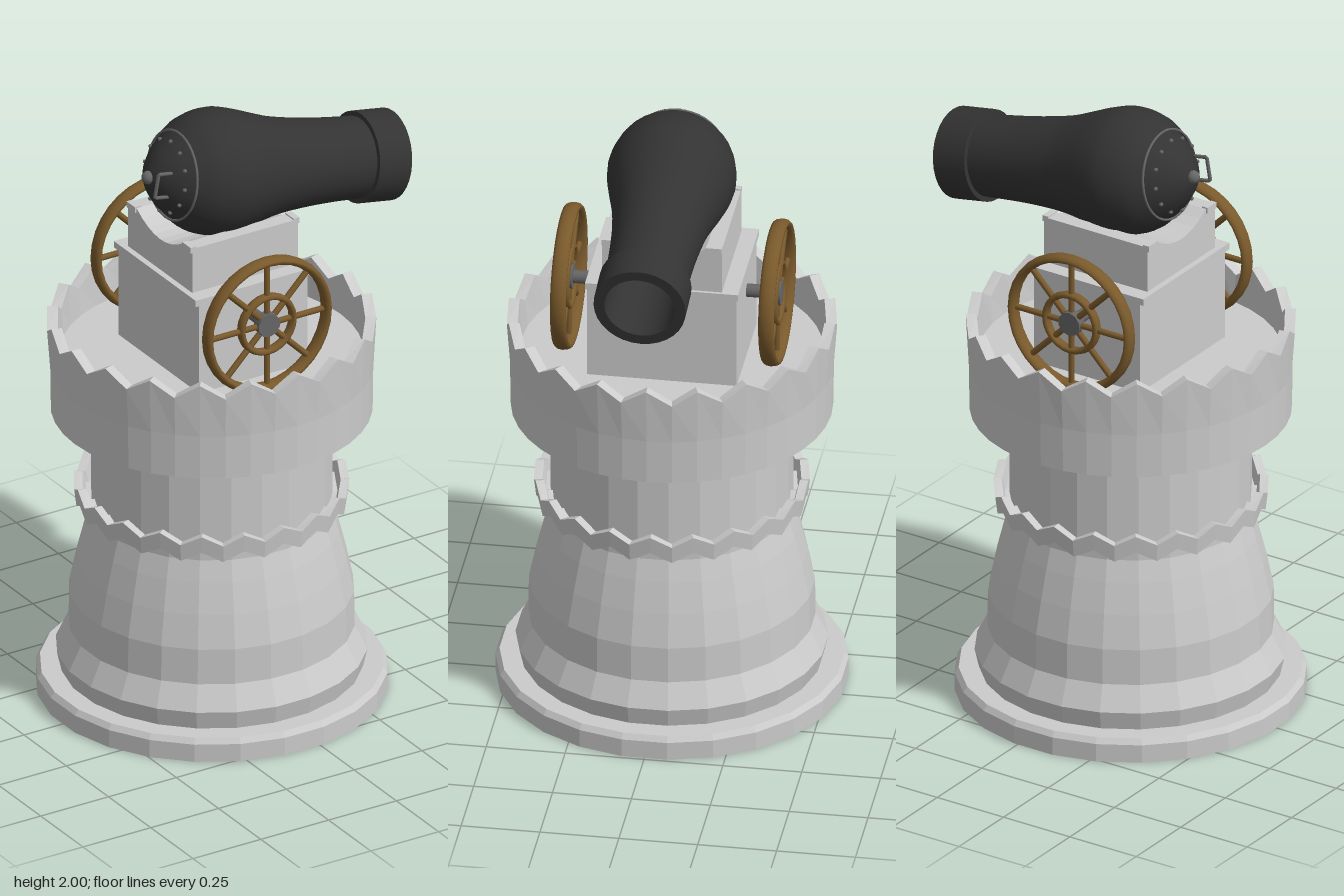
import * as THREE from 'three';

const paint = (color, flatShading = false) =>
  new THREE.MeshStandardMaterial({ color, flatShading, side: THREE.DoubleSide });
const stone = paint(0xcccccc, true);
const stoneSmooth = paint(0xcccccc);
const iron = paint(0x333333);
const steel = paint(0x666666);
const wood = paint(0x7a5a2c);

function add(parent, name, geometry, material, x = 0, y = 0, z = 0) {
  const mesh = new THREE.Mesh(geometry, material);
  mesh.name = name;
  mesh.position.set(x, y, z);
  parent.add(mesh);
  return mesh;
}

const lathe = (points, sides) =>
  new THREE.LatheGeometry(points.map(([r, y]) => new THREE.Vector2(r, y)), sides);

// Lathe whose vertices above a height drop at every second step, giving a zigzag edge
function zigzagLathe(points, teeth, above, drop) {
  const geometry = lathe(points, teeth * 2);
  const pos = geometry.attributes.position;
  for (let i = 0; i < pos.count; i++) {
    const step = Math.floor(i / points.length);
    if (step % 2 && pos.getY(i) > above) pos.setY(i, pos.getY(i) - drop);
  }
  return geometry;
}

function buildTower() {
  const tower = new THREE.Group();
  tower.name = 'tower';

  // Plinth with a bevelled top edge
  const plinth = lathe([[0, 0], [0.553, 0], [0.553, 0.06], [0.54, 0.078], [0, 0.078]], 24);
  add(tower, 'plinth', plinth, stone).rotation.y = Math.PI / 24;

  // Bulging shaft narrowing into a straight column
  const shaft = lathe([
    [0.475, 0.075], [0.49, 0.14], [0.45, 0.22], [0.448, 0.34],
    [0.425, 0.45], [0.4, 0.55], [0.38, 0.62], [0.38, 0.98],
  ], 24);
  add(tower, 'shaft', shaft, stone).rotation.y = Math.PI / 24;

  // Wavy collar
  add(tower, 'collar', zigzagLathe(
    [[0.37, 0.67], [0.425, 0.67], [0.432, 0.728], [0.405, 0.728], [0.395, 0.69], [0.37, 0.69]],
    20, 0, 0.033), stone);

  // Battlement with a recessed floor
  add(tower, 'battlement', zigzagLathe([
    [0, 0.972], [0.505, 0.972], [0.507, 1.12], [0.517, 1.303],
    [0.483, 1.303], [0.475, 1.165], [0, 1.165],
  ], 20, 1.25, 0.048), stone);
  add(tower, 'floorDisc', new THREE.CylinderGeometry(0.43, 0.43, 0.01, 48), stoneSmooth, 0, 1.165, 0);
  return tower;
}

function buildWheel() {
  const wheel = new THREE.Group();
  wheel.name = 'wheel';
  add(wheel, 'rim', new THREE.TorusGeometry(0.219, 0.014, 10, 32), wood).scale.z = 1.85;
  add(wheel, 'hubRing', new THREE.TorusGeometry(0.095, 0.011, 8, 24), wood).scale.z = 1.6;
  for (let i = 0; i < 8; i++) {
    const spoke = new THREE.CylinderGeometry(0.01, 0.01, 0.18, 8);
    spoke.translate(0, 0.13, 0);
    add(wheel, 'spoke', spoke, wood).rotation.z = i * Math.PI / 4;
  }
  const hub = new THREE.CylinderGeometry(0.04, 0.04, 0.03, 10);
  hub.rotateX(Math.PI / 2);
  add(wheel, 'hub', hub, steel);
  return wheel;
}

function buildCarriage() {
  const carriage = new THREE.Group();
  carriage.name = 'carriage';
  add(carriage, 'lowerBlock', new THREE.BoxGeometry(0.4, 0.31, 0.475), stone, 0.005, 1.325, 0);
  add(carriage, 'ledge', new THREE.BoxGeometry(0.42, 0.022, 0.485), stone, 0, 1.49, 0);

  // Upper block with a rounded trough for the barrel
  const cradle = new THREE.Shape();
  cradle.moveTo(-0.19, 1.5);
  cradle.lineTo(0.19, 1.5);
  cradle.lineTo(0.19, 1.655);
  cradle.lineTo(0.14, 1.655);
  cradle.quadraticCurveTo(0, 1.56, -0.14, 1.655);
  cradle.lineTo(-0.19, 1.655);
  const block = new THREE.ExtrudeGeometry(cradle, { depth: 0.39, bevelEnabled: false, curveSegments: 8 });
  block.translate(0, 0, -0.195);
  block.rotateY(Math.PI / 2);
  add(carriage, 'cradle', block, stone, 0.005, 0, 0);
  for (const x of [-0.185, 0.195])
    for (const z of [-0.165, 0.165])
      add(carriage, 'cradleLip', new THREE.BoxGeometry(0.022, 0.02, 0.05), stone, x, 1.65, z);

  const axle = new THREE.CylinderGeometry(0.021, 0.021, 0.68, 12);
  axle.rotateX(Math.PI / 2);
  add(carriage, 'axle', axle, steel, 0, 1.4, 0);
  for (const z of [-0.333, 0.327]) {
    const wheel = buildWheel();
    wheel.position.set(0, 1.4, z);
    carriage.add(wheel);
  }
  return carriage;
}

// Cannon built along local +y, then tipped so the muzzle points to +x and slightly down
function buildCannon() {
  const cannon = new THREE.Group();
  cannon.name = 'cannon';
  const body = new THREE.SplineCurve([
    [0.143, -0.145], [0.182, -0.09], [0.203, -0.01], [0.196, 0.06], [0.175, 0.14],
    [0.155, 0.22], [0.142, 0.32], [0.134, 0.43], [0.13, 0.55],
  ].map(([r, y]) => new THREE.Vector2(r, y))).getPoints(28);
  add(cannon, 'barrel', new THREE.LatheGeometry(body, 32), iron);

  // Muzzle band and hollow bore
  for (const [name, points] of [
    ['muzzleSide', [[0.146, 0.535], [0.146, 0.655]]],
    ['muzzleBack', [[0.125, 0.535], [0.146, 0.535]]],
    ['muzzleFace', [[0.146, 0.655], [0.112, 0.655]]],
    ['bore', [[0.112, 0.655], [0.105, 0.35]]],
    ['boreEnd', [[0.105, 0.35], [0, 0.35]]],
  ]) add(cannon, name, lathe(points, 32), iron);

  // Breech cap, its seam, rivets and knob
  add(cannon, 'breechCap', lathe(
    [[0, -0.238], [0.03, -0.234], [0.075, -0.21], [0.115, -0.175], [0.141, -0.14]], 32), iron);
  const seam = new THREE.TorusGeometry(0.143, 0.004, 6, 40);
  seam.rotateX(Math.PI / 2);
  add(cannon, 'seam', seam, steel, 0, -0.147, 0);
  for (let i = 0; i < 12; i++) {
    const a = i * Math.PI / 6;
    add(cannon, 'rivet', new THREE.SphereGeometry(0.007, 8, 6), steel,
      0.117 * Math.cos(a), -0.175, 0.117 * Math.sin(a));
  }
  add(cannon, 'knob', new THREE.SphereGeometry(0.022, 12, 8), steel, 0, -0.238, 0);

  // Square pull handle on the breech
  const path = new THREE.CurvePath();
  const corners = [[-0.04, -0.195], [-0.04, -0.25], [0.04, -0.25], [0.04, -0.195]]
    .map(([x, y]) => new THREE.Vector3(x, y, 0.07));
  for (let i = 0; i < 3; i++) path.add(new THREE.LineCurve3(corners[i], corners[i + 1]));
  add(cannon, 'handle', new THREE.TubeGeometry(path, 30, 0.006, 6), steel);

  cannon.position.set(0, 1.795, 0);
  cannon.rotation.z = -THREE.MathUtils.degToRad(100);
  return cannon;
}

export function createModel() {
  const model = new THREE.Group();
  model.name = 'cannonTower';
  const assembly = new THREE.Group();
  assembly.name = 'assembly';
  assembly.position.x = -0.058;
  assembly.add(buildTower(), buildCarriage(), buildCannon());
  model.add(assembly);
  return model;
}
